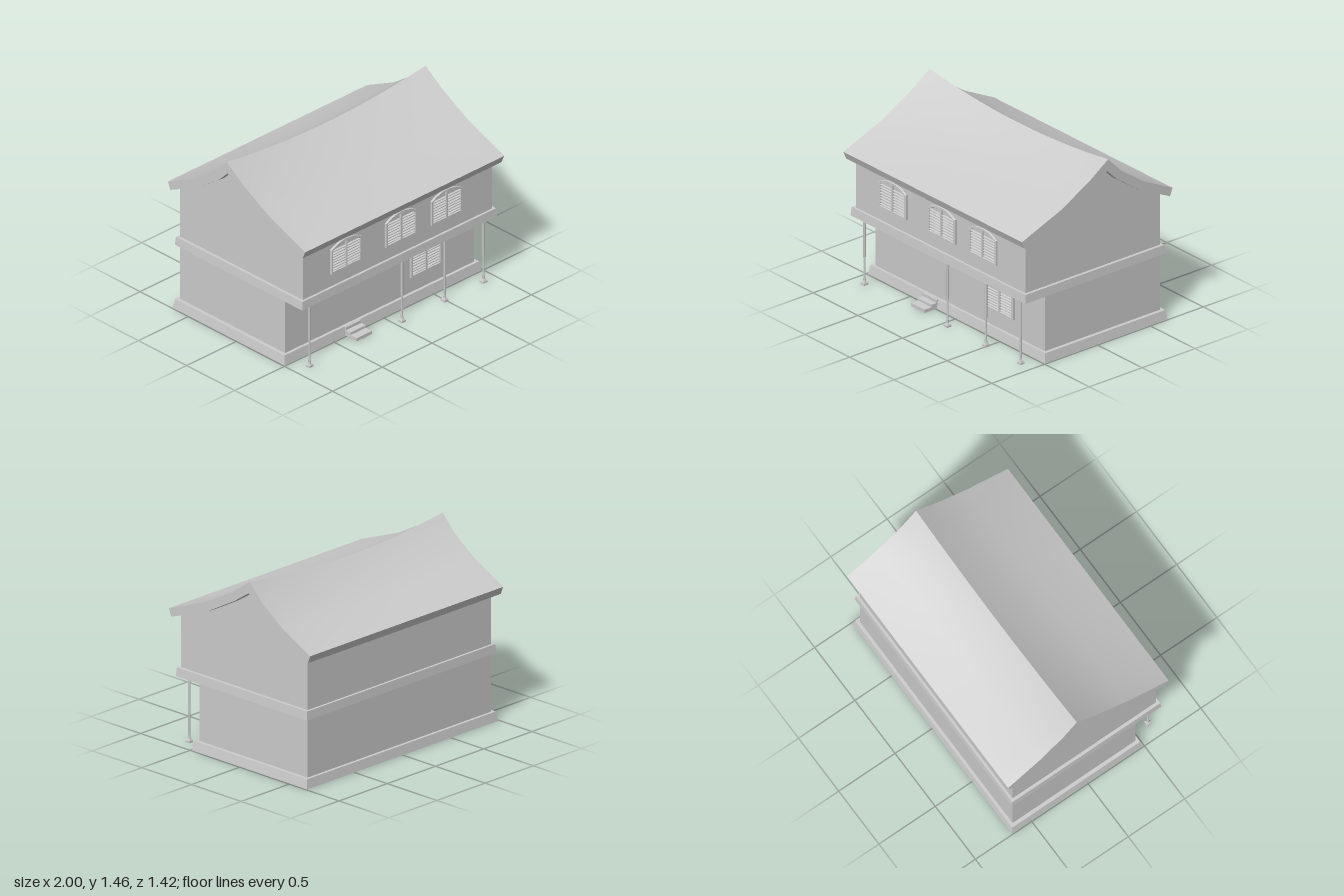
import * as THREE from 'three';
import { toCreasedNormals } from 'three/addons/utils/BufferGeometryUtils.js';

const grey = new THREE.MeshStandardMaterial({ color: 0xcccccc, side: THREE.DoubleSide });

function add(parent, name, geometry, x = 0, y = 0, z = 0) {
  const mesh = new THREE.Mesh(geometry, grey);
  mesh.name = name;
  mesh.position.set(x, y, z);
  parent.add(mesh);
  return mesh;
}

// Box given by its limits, with the top drawn in by an inset on all sides
function block(x0, x1, y0, y1, z0, z1, inset = 0) {
  const g = new THREE.BoxGeometry(x1 - x0, y1 - y0, z1 - z0);
  const p = g.attributes.position;
  for (let i = 0; i < p.count; i++) {
    if (p.getY(i) > 0) {
      p.setX(i, p.getX(i) - Math.sign(p.getX(i)) * inset);
      p.setZ(i, p.getZ(i) - Math.sign(p.getZ(i)) * inset);
    }
  }
  g.translate((x0 + x1) / 2, (y0 + y1) / 2, (z0 + z1) / 2);
  g.computeVertexNormals();
  return g;
}

// Extrude a [z, y] profile along x, then let it sag towards mid-length near the ridge
function saggingExtrusion(profile, halfLength) {
  const shape = new THREE.Shape(profile.map(([z, y]) => new THREE.Vector2(-z, y)));
  const g = new THREE.ExtrudeGeometry(shape, { depth: halfLength * 2, steps: 16, bevelEnabled: false });
  g.rotateY(Math.PI / 2).translate(-halfLength, 0, 0);
  const p = g.attributes.position;
  for (let i = 0; i < p.count; i++) {
    const x = p.getX(i), y = p.getY(i), z = p.getZ(i);
    if (y < 0.9) continue;
    const run = z > -0.1 ? 0.81 : 0.61;
    const weight = Math.max(0, 1 - Math.abs(z + 0.1) / run);
    p.setY(i, y - 0.07 * (1 - x * x) * weight);
  }
  return toCreasedNormals(g, 0.5);
}

// Outline with a shallow arched head
function archOutline(Type, halfWidth, bottom, spring, peak) {
  const s = new Type();
  s.moveTo(-halfWidth, bottom);
  s.lineTo(halfWidth, bottom);
  s.lineTo(halfWidth, spring);
  s.quadraticCurveTo(0, 2 * peak - spring, -halfWidth, spring);
  s.closePath();
  return s;
}

function createWindow(x, y, z) {
  const group = new THREE.Group();
  group.name = 'window';
  group.position.set(x, y, z);

  const outline = archOutline(THREE.Shape, 0.152, 0, 0.198, 0.244);
  outline.holes.push(archOutline(THREE.Path, 0.138, 0.014, 0.19, 0.229));
  const frame = new THREE.ExtrudeGeometry(outline, {
    depth: 0.012, curveSegments: 8, bevelEnabled: true,
    bevelThickness: 0.003, bevelSize: 0.002, bevelSegments: 1,
  });
  add(group, 'windowFrame', frame);
  add(group, 'windowMullion', block(-0.007, 0.007, 0.01, 0.235, 0, 0.016));

  // Shutter slats on both halves
  for (const side of [-1, 1]) {
    for (let i = 0; i < 8; i++) {
      const slat = add(group, 'shutterSlat', new THREE.BoxGeometry(0.125, 0.004, 0.016),
        side * 0.073, 0.03 + i * 0.022, 0.008);
      slat.rotation.x = 0.2;
    }
  }
  return group;
}

function createPost(x) {
  const group = new THREE.Group();
  group.name = 'porchPost';
  group.position.set(x, 0, 0.625);
  add(group, 'postFoot', block(-0.02, 0.02, 0, 0.014, -0.02, 0.02));
  add(group, 'postFootTop', block(-0.019, 0.019, 0.014, 0.03, -0.019, 0.019, 0.008));
  const profile = [[0.011, 0.03], [0.008, 0.06], [0.008, 0.2], [0.01, 0.23], [0.01, 0.47], [0.012, 0.53]];
  const shaft = new THREE.LatheGeometry(profile.map(([r, y]) => new THREE.Vector2(r, y)), 8);
  add(group, 'postShaft', shaft);
  return group;
}

export function createModel() {
  const house = new THREE.Group();
  house.name = 'house';

  // Walls and ledges
  add(house, 'plinth', block(-0.99, 0.99, 0, 0.072, -0.67, 0.49, 0.012));
  add(house, 'lowerWalls', block(-0.95, 0.95, 0.07, 0.53, -0.635, 0.455));
  add(house, 'floorLedge', block(-0.98, 0.98, 0.525, 0.592, -0.66, 0.665, 0.006));

  // Roof cross-sections, front eave to back eave
  const outer = [[0.715, 1.04], [0.345, 1.185], [0.08, 1.33], [-0.1, 1.455],
    [-0.225, 1.325], [-0.43, 1.18], [-0.71, 1.04]];
  const inner = [[0.69, 0.98], [0.32, 1.12], [0.05, 1.27], [-0.09, 1.365],
    [-0.18, 1.275], [-0.39, 1.125], [-0.685, 0.98]];
  add(house, 'roof', saggingExtrusion([...outer, ...inner.slice().reverse()], 1));

  // Upper storey with gables that run up under the roof
  const gable = inner.slice(1, -1).map(([z, y]) => [z, y + 0.015]);
  add(house, 'upperWalls', saggingExtrusion(
    [[0.64, 0.585], [0.64, 1.015], ...gable, [-0.635, 1.018], [-0.635, 0.585]], 0.95));

  // Windows
  for (const x of [-0.525, 0.025, 0.485]) house.add(createWindow(x, 0.702, 0.643));
  house.add(createWindow(0.455, 0.2, 0.458));

  // Porch posts
  for (const x of [-0.87, 0.06, 0.49, 0.88]) house.add(createPost(x));

  // Front steps
  [[0.605, 0.026], [0.54, 0.046], [0.492, 0.07]].forEach(([front, top]) =>
    add(house, 'step', block(-0.375, -0.22, 0, top, 0.46, front)));

  return house;
}
